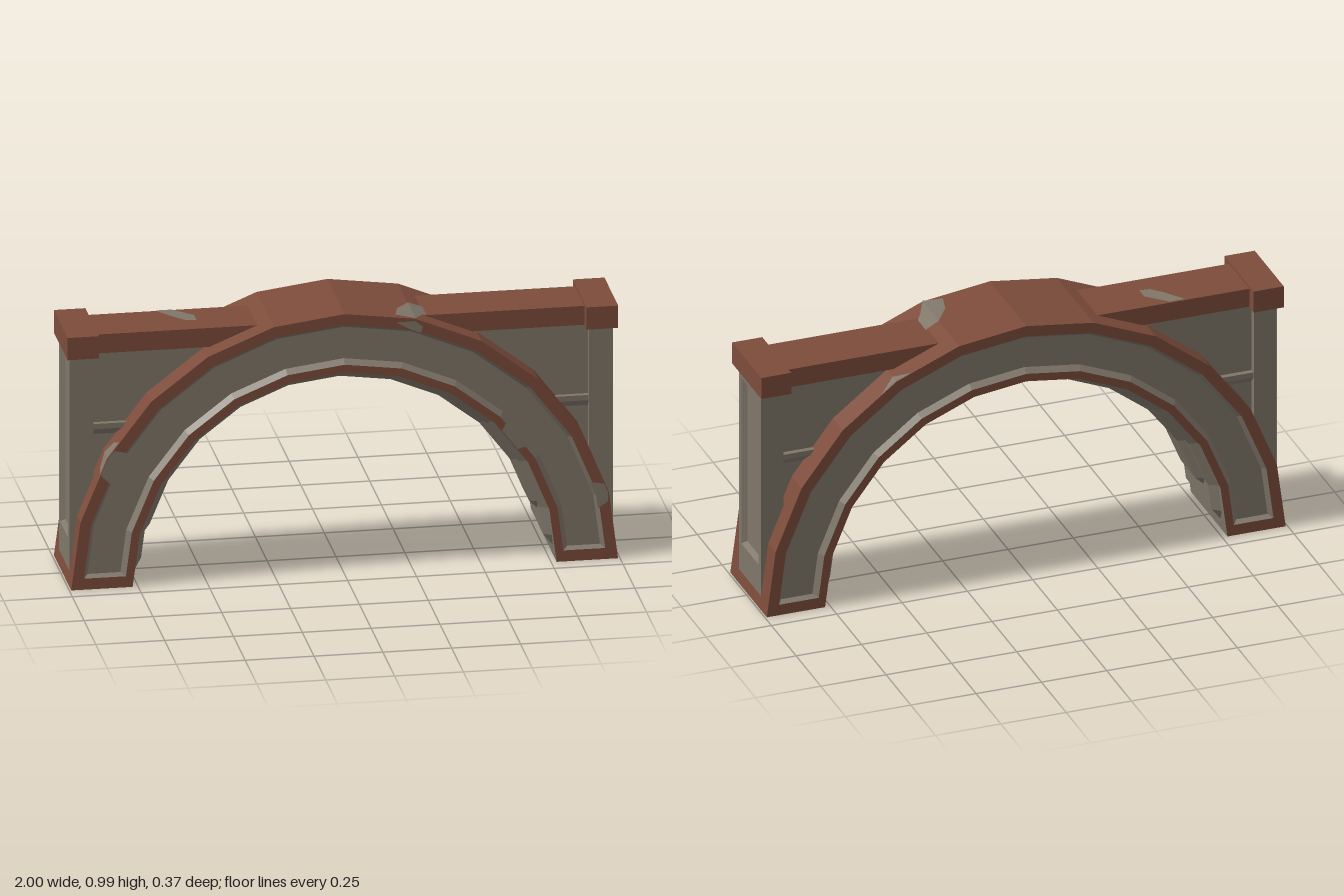
import * as THREE from 'three';

const RAD = Math.PI / 180, STEP = 15, R_OUT = 0.993, R_IN = 0.77, HALF = 0.185;

const brick = new THREE.MeshStandardMaterial({ color: 0x7d4c3b, flatShading: true, side: THREE.DoubleSide });
brick.name = 'red brown trim';
const stone = new THREE.MeshStandardMaterial({ color: 0x80776a, flatShading: true, side: THREE.DoubleSide });
stone.name = 'grey stone';

function add(parent, name, geometry, material) {
  const mesh = new THREE.Mesh(geometry, material);
  mesh.name = name;
  parent.add(mesh);
  return mesh;
}

function box(parent, name, [x0, x1], [y0, y1], z, material) {
  const g = new THREE.BoxGeometry(x1 - x0, y1 - y0, z * 2);
  g.translate((x0 + x1) / 2, (y0 + y1) / 2, 0);
  return add(parent, name, g, material);
}

function fromTriangles(pos) {
  const g = new THREE.BufferGeometry();
  g.setAttribute('position', new THREE.Float32BufferAttribute(pos, 3));
  g.computeVertexNormals();
  return g;
}

// Point on the faceted arch, whose corners lie every 15 degrees
function polar(r, a) {
  const f = Math.cos(STEP / 2 * RAD) / Math.cos(((a % STEP) - STEP / 2) * RAD);
  return [r * f * Math.cos(a * RAD), r * f * Math.sin(a * RAD)];
}

// Sweeps a profile of [radius, z] around the arch; flatEnds tapers it into its base
function sweep(profile, angles, flatEnds = false) {
  const pos = [];
  const at = (i, j) => {
    const end = flatEnds && (i === 0 || i === angles.length - 1);
    return [...polar(end ? profile[0][0] : profile[j][0], angles[i]), profile[j][1]];
  };
  for (let i = 0; i < angles.length - 1; i++) {
    for (let j = 0; j < profile.length - 1; j++) {
      const a = at(i, j), b = at(i, j + 1), c = at(i + 1, j + 1), d = at(i + 1, j);
      pos.push(...a, ...b, ...c, ...a, ...c, ...d);
    }
  }
  return fromTriangles(pos);
}

function range(a, b) {
  const out = [];
  for (let v = a; v <= b; v += STEP) out.push(v);
  return out;
}

// Counterclockwise outline of an arch band, cut level at height y
function archOutline(rIn, rOut, y) {
  const arc = (r) => {
    const pts = range(0, 180).map((a) => polar(r, a));
    const x = r * (1 - (y / (r * Math.sin(STEP * RAD))) * (1 - Math.cos(STEP * RAD)));
    pts[0] = [x, y];
    pts[pts.length - 1] = [-x, y];
    return pts;
  };
  return [...arc(rOut), ...arc(rIn).reverse()];
}

const rect = (w, y0, y1) => [[-w, y0], [w, y0], [w, y1], [-w, y1]];
const shapeOf = (pts) => new THREE.Shape(pts.map((p) => new THREE.Vector2(...p)));

// Flat frame with a sunken panel and sloping edges, facing +z
function sunkenPanel(name, outer, hole, floor, depth, frameMaterial) {
  const group = new THREE.Group();
  group.name = name;
  const frame = shapeOf(outer);
  frame.holes.push(new THREE.Path(hole.map((p) => new THREE.Vector2(...p))));
  add(group, name + 'Frame', new THREE.ShapeGeometry(frame), frameMaterial);
  const pos = [];
  hole.forEach((p, i) => {
    const k = (i + 1) % hole.length;
    const a = [...p, 0], b = [...hole[k], 0], c = [...floor[k], -depth], d = [...floor[i], -depth];
    pos.push(...a, ...b, ...c, ...a, ...c, ...d);
  });
  add(group, name + 'Bevel', fromTriangles(pos), stone);
  add(group, name + 'Floor', new THREE.ShapeGeometry(shapeOf(floor)), stone).position.z = -depth;
  return group;
}

// Thin chip drawn as a fan around a centre point
function chip(parent, name, centre, points) {
  const pos = [];
  points.forEach((p, i) => pos.push(...centre, ...p, ...points[(i + 1) % points.length]));
  add(parent, name, fromTriangles(pos), stone);
}

function buildArch() {
  const arch = new THREE.Group();
  arch.name = 'arch';
  const all = range(0, 180);
  add(arch, 'archOuterSurface', sweep([[R_OUT, HALF], [R_OUT, -HALF]], all), brick);
  add(arch, 'archInnerSurface', sweep([[R_IN, -HALF], [R_IN, HALF]], all), stone);

  // Front and back faces with their sunken bands
  for (const turn of [0, Math.PI]) {
    const face = sunkenPanel('archFace', archOutline(R_IN, R_OUT, 0),
      archOutline(0.80, 0.952, 0.042), archOutline(0.818, 0.938, 0.052), 0.02, brick);
    face.children.forEach((m) => { m.position.z += HALF; });
    face.rotation.y = turn;
    arch.add(face);
  }

  // Two raised layers under the arch
  add(arch, 'soffitBand', sweep([[0.77, -0.16], [0.742, -0.13], [0.742, 0.13], [0.77, 0.16]],
    [3.5, 7, ...range(15, 165), 173, 176.5], true), stone);
  add(arch, 'soffitPanel', sweep([[0.744, -0.1], [0.718, -0.075], [0.718, 0.075], [0.744, 0.1]],
    [13, 16, ...range(30, 150), 164, 167], true), stone);

  // Undersides of the feet
  for (const s of [1, -1]) {
    const g = new THREE.PlaneGeometry(R_OUT - R_IN, HALF * 2);
    g.rotateX(Math.PI / 2);
    g.translate(s * (R_OUT + R_IN) / 2, 0, 0);
    add(arch, 'footUnderside', g, stone);
  }
  return arch;
}

function buildSide() {
  const side = new THREE.Group();
  side.name = 'sideWall';

  // Spandrel wall between the arch and the pilaster
  const wall = [[0.92, 0.2], ...range(15, 60).map((a) => polar(0.9, a)), [0.33, 0.9], [0.92, 0.9]];
  const wallGeo = new THREE.ExtrudeGeometry(shapeOf([...wall].reverse()), { depth: 0.17, bevelEnabled: false });
  wallGeo.translate(0, 0, -0.085);
  add(side, 'spandrelWall', wallGeo, stone);

  // Ledge with sloping underside
  const section = [[-0.085, 0.555], [0.085, 0.555], [0.105, 0.58], [0.105, 0.6], [-0.105, 0.6], [-0.105, 0.58]];
  const ledge = new THREE.ExtrudeGeometry(shapeOf(section), { depth: 0.2, bevelEnabled: false });
  ledge.rotateY(Math.PI / 2);
  ledge.translate(0.71, 0, 0);
  add(side, 'spandrelLedge', ledge, stone);

  // Pilaster with a sunken outer panel
  box(side, 'pilasterCore', [0.9, 0.966], [0.05, 0.87], 0.11, stone);
  const rim = new THREE.Shape(rect(0.11, 0.05, 0.87).map((p) => new THREE.Vector2(...p)));
  rim.holes.push(new THREE.Path(rect(0.086, 0.165, 0.835).map((p) => new THREE.Vector2(...p))));
  const rimGeo = new THREE.ExtrudeGeometry(rim, { depth: 0.021, bevelEnabled: false });
  rimGeo.rotateY(Math.PI / 2);
  rimGeo.translate(0.966, 0, 0);
  add(side, 'pilasterRim', rimGeo, stone);
  const panel = sunkenPanel('pilasterPanel', rect(0.11, 0.05, 0.87),
    rect(0.086, 0.165, 0.835), rect(0.074, 0.178, 0.82), 0.018, stone);
  panel.rotation.y = Math.PI / 2;
  panel.position.x = 0.988;
  side.add(panel);

  box(side, 'topBeam', [0.3, 0.9], [0.868, 0.94], 0.103, brick);
  box(side, 'pilasterCap', [0.885, 1], [0.865, 0.95], 0.147, brick);
  return side;
}

function buildChips() {
  const chips = new THREE.Group();
  chips.name = 'chippedSpots';
  const top = ([a, z]) => [...polar(R_OUT + 0.003, a), z];
  const front = ([r, a]) => [...polar(r, a), HALF + 0.002];
  const beam = ([x, z]) => [x, 0.943, z];
  const spots = [
    ['crownChip', top, [75, 0.1], [[71.2, 0.08], [71.5, 0.01], [75, 0.02], [78, 0.09], [79, 0.16], [75, HALF], [73, 0.12]]],
    ['rearEdgeChip', top, [60, -0.17], [[56, -HALF], [60, -HALF], [63.5, -HALF], [60, -0.148]]],
    ['shoulderChip', top, [150, 0.155], [[146, HALF], [147, 0.14], [150, 0.125], [153, 0.15], [154, HALF], [150, HALF]]],
    ['crownRimChip', front, [0.965, 75], [[0.975, 73], [0.985, 75], [0.975, 79], [0.95, 75], [0.95, 73]]],
    ['shoulderRimChip', front, [0.97, 151], [[0.992, 148], [0.992, 150], [0.992, 154], [0.945, 155], [0.945, 150], [0.945, 147]]],
    ['footRimChip', front, [0.965, 15], [[0.985, 13], [0.99, 15], [0.99, 17], [0.945, 18.5], [0.945, 15], [0.945, 12]]],
    ['innerRimChip', front, [0.79, 39], [[0.81, 34], [0.81, 43], [0.773, 42], [0.773, 35]]],
    ['beamChip', beam, [-0.57, -0.045], [[-0.58, -0.1], [-0.64, -0.1], [-0.59, -0.03], [-0.55, 0.015], [-0.51, 0.02], [-0.51, -0.03]]],
  ];
  for (const [name, map, centre, pts] of spots) chip(chips, name, map(centre), pts.map(map));
  return chips;
}

export function createModel() {
  const model = new THREE.Group();
  model.name = 'stoneArch';
  model.add(buildArch(), buildChips());
  for (const turn of [0, Math.PI]) {
    const side = buildSide();
    side.rotation.y = turn;
    model.add(side);
  }
  return model;
}
